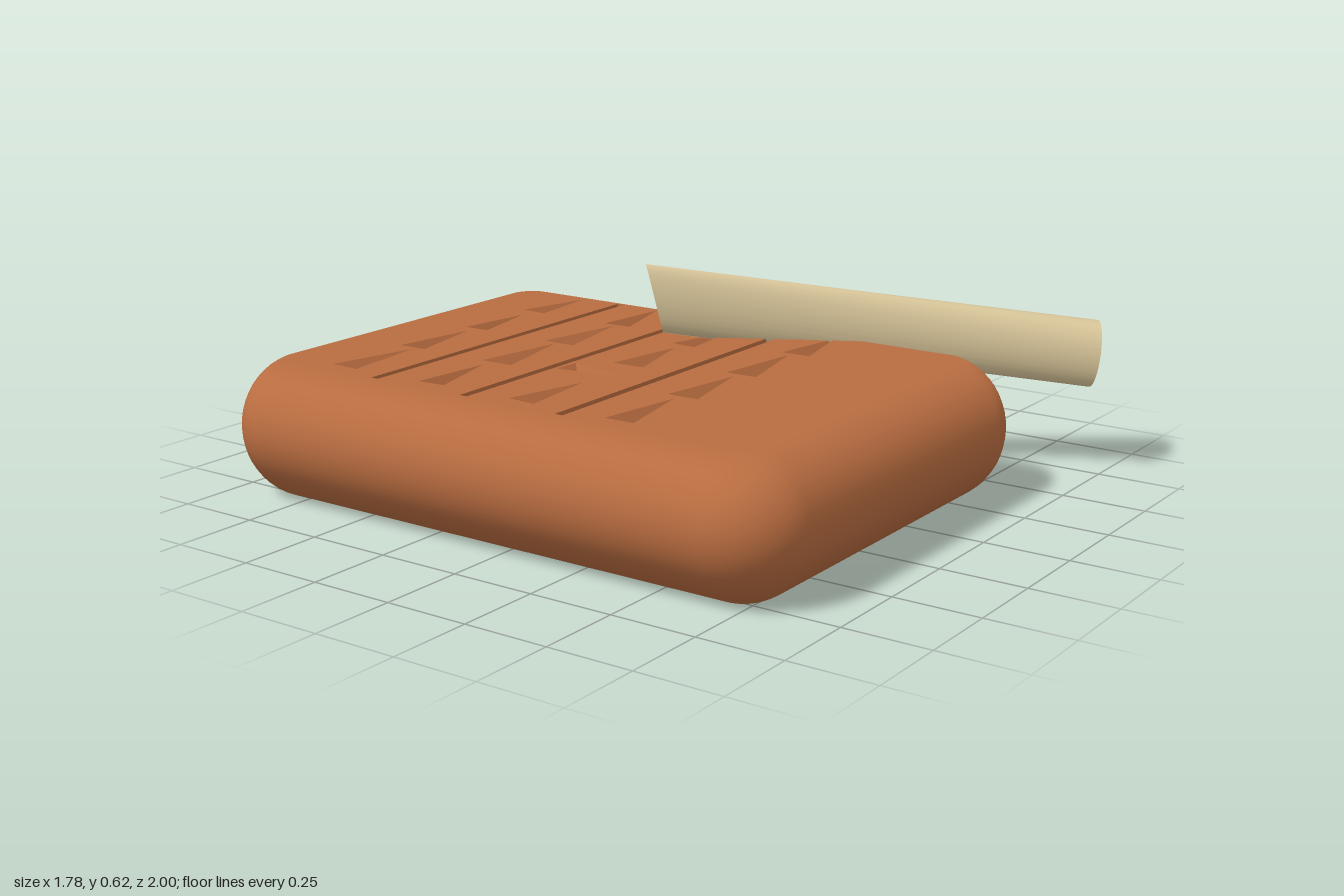
import * as THREE from 'three';

const HALF_X = 0.70, HALF_Z = 0.94, ROUND = 0.195, TOP = 0.394;
const CX = -0.19, CZ = -0.06;
const RIM_ANGLE = Math.acos(0.07 / ROUND); // where the rounded side meets the flat face

// Rounded rectangle in plan, counterclockwise; plan y is -z
function outline(radius) {
  const pts = [], n = 10;
  for (let c = 0; c < 4; c++) {
    const mid = (c + 0.5) * Math.PI / 2;
    for (let i = 0; i <= n; i++) {
      const a = (c + i / n) * Math.PI / 2;
      pts.push({
        x: CX + Math.sign(Math.cos(mid)) * (HALF_X - ROUND) + radius * Math.cos(a),
        y: -CZ + Math.sign(Math.sin(mid)) * (HALF_Z - ROUND) + radius * Math.sin(a),
        a,
      });
    }
  }
  return pts;
}

// Rounded side wall of the tablet as stacked rings
function sideWall() {
  const pos = [], nor = [], idx = [], steps = 20;
  let count = 0;
  for (let i = 0; i <= steps; i++) {
    const t = (i / steps * 2 - 1) * Math.PI / 2, s = t * RIM_ANGLE / (Math.PI / 2);
    const y = TOP / 2 * (1 + Math.sin(s) / Math.sin(RIM_ANGLE));
    const ring = outline(ROUND * Math.cos(s));
    count = ring.length;
    for (const p of ring) {
      pos.push(p.x, y, -p.y);
      nor.push(Math.cos(p.a) * Math.cos(t), Math.sin(t), -Math.sin(p.a) * Math.cos(t));
    }
  }
  for (let i = 0; i < steps; i++) for (let j = 0; j < count; j++) {
    const k = (j + 1) % count;
    const a = i * count + j, b = i * count + k, c = b + count, d = a + count;
    idx.push(a, b, c, a, c, d);
  }
  const g = new THREE.BufferGeometry();
  g.setAttribute('position', new THREE.Float32BufferAttribute(pos, 3));
  g.setAttribute('normal', new THREE.Float32BufferAttribute(nor, 3));
  g.setIndex(idx);
  return g;
}

// Sunken hollow: walls from rim to floor, plus the floor itself
function hollow(rim, floor, depth) {
  const pos = [];
  const put = (p, y) => pos.push(p.x, y, -p.y);
  const low = TOP - depth, n = rim.length;
  for (let i = 0; i < n; i++) {
    const j = (i + 1) % n;
    put(rim[i], TOP); put(rim[j], TOP); put(floor[j], low);
    if (floor[i] !== floor[j]) { put(rim[i], TOP); put(floor[j], low); put(floor[i], low); }
  }
  if (floor[0] !== floor[1]) for (let i = 1; i < n - 1; i++) {
    put(floor[0], low); put(floor[i], low); put(floor[i + 1], low);
  }
  const g = new THREE.BufferGeometry();
  g.setAttribute('position', new THREE.Float32BufferAttribute(pos, 3));
  g.computeVertexNormals();
  return g;
}

// Pressed wedges: head x, head z, tip x, tip z, head width
const WEDGES = [
  [-0.71, -0.647, -0.445, -0.63, 0.095], [-0.43, -0.645, -0.18, -0.65, 0.09],
  [-0.143, -0.645, 0.08, -0.65, 0.08], [0.138, -0.65, 0.36, -0.63, 0.085],
  [-0.708, -0.325, -0.47, -0.343, 0.085], [-0.432, -0.325, -0.155, -0.333, 0.105],
  [-0.146, -0.328, 0.128, -0.328, 0.105], [0.138, -0.325, 0.37, -0.343, 0.09],
  [-0.71, -0.008, -0.465, 0.008, 0.09], [-0.345, -0.143, -0.36, 0.07, 0.08],
  [-0.24, -0.005, 0.005, -0.015, 0.1], [0.043, -0.013, 0.27, 0.008, 0.08],
  [-0.712, 0.315, -0.46, 0.308, 0.09], [-0.43, 0.315, -0.175, 0.308, 0.095],
  [-0.148, 0.315, 0.12, 0.303, 0.095], [0.138, 0.315, 0.365, 0.31, 0.09],
];
const GROOVES = [-0.488, -0.168, 0.155];

export function createModel() {
  const clay = new THREE.MeshStandardMaterial({ color: 0xb86c40 });
  clay.name = 'clay';
  const reed = new THREE.MeshStandardMaterial({ color: 0xd9c69a });
  reed.name = 'reed';
  const model = new THREE.Group();
  const tablet = new THREE.Group();
  tablet.name = 'tablet';
  model.add(tablet);
  const add = (name, geometry) => {
    const mesh = new THREE.Mesh(geometry, clay);
    mesh.name = name;
    tablet.add(mesh);
  };
  const v2 = (x, y) => new THREE.Vector2(x, y);
  const rimPath = () => outline(ROUND * Math.cos(RIM_ANGLE)).map(p => v2(p.x, p.y));

  add('tabletSide', sideWall());
  const face = new THREE.Shape(rimPath());

  // Wedge impressions
  for (const [hx, hz, tx, tz, w] of WEDGES) {
    const head = v2(hx, -hz), tip = v2(tx, -tz);
    const dir = tip.clone().sub(head).normalize();
    const side = v2(-dir.y, dir.x).multiplyScalar(w / 2);
    const rim = [head.clone().sub(side), tip, head.clone().add(side)];
    const apex = head.clone().addScaledVector(dir, 0.045);
    face.holes.push(new THREE.Path(rim));
    add('wedgeMark', hollow(rim, [apex, apex, apex], 0.05));
  }

  // Ruled grooves between the rows
  for (const z of GROOVES) {
    const x0 = -0.757, x1 = 0.376, h = 0.0125;
    const rim = [v2(x0, -z - h), v2(x1, -z - h), v2(x1, -z + h), v2(x0, -z + h)];
    face.holes.push(new THREE.Path(rim));
    add('rowGroove', hollow(rim, rim, 0.015));
  }

  // Flat faces
  add('tabletTop', new THREE.ShapeGeometry(face).rotateX(-Math.PI / 2).translate(0, TOP, 0));
  const base = new THREE.ShapeGeometry(new THREE.Shape(rimPath()));
  add('tabletBottom', base.rotateX(Math.PI / 2).scale(1, 1, 1).translate(0, 0, -2 * -CZ));

  // Stylus: round at one end, pinched to a slanted upright edge at the other
  const R = 0.1, L = 1.35;
  const g = new THREE.CylinderGeometry(R, R, L, 32, 1).rotateX(Math.PI / 2).translate(0, 0, L / 2);
  const p = g.attributes.position;
  for (let i = 0; i < p.count; i++) {
    if (p.getZ(i) < L / 2) continue;
    p.setX(i, p.getX(i) * 0.01);
    p.setZ(i, L - 0.075 * (R - p.getY(i)) / (2 * R));
  }
  g.computeVertexNormals();
  const stylus = new THREE.Mesh(g, reed);
  stylus.name = 'stylus';
  stylus.position.set(0.805, 0.35, 0.94);
  stylus.lookAt(0.06, 0.515, -0.16);
  model.add(stylus);
  return model;
}
